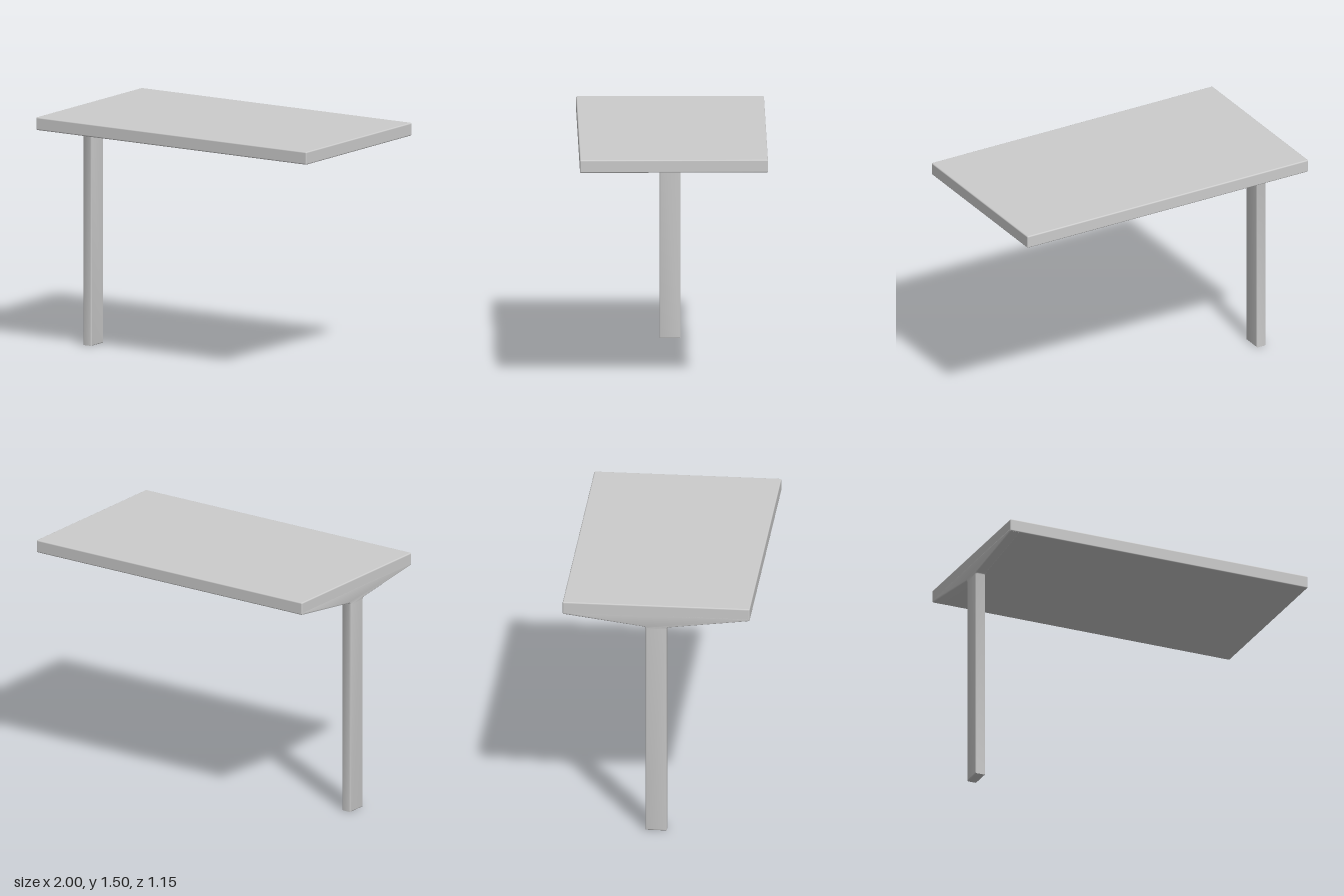
import * as THREE from 'three';
import { RoundedBoxGeometry } from 'three/addons/geometries/RoundedBoxGeometry.js';
import { toCreasedNormals } from 'three/addons/utils/BufferGeometryUtils.js';

const TOP_Y = 1.5, UNDER_Y = 1.42, HALF_DEPTH = 0.575;
const LEG_HALF = 0.065, LEG_THICK = 0.065, NECK_Y = 1.355, BEVEL = 0.007;

// T-shaped outline of the leg with its two tapered arms
function supportShape() {
  const s = new THREE.Shape();
  const reach = HALF_DEPTH - 0.005;
  s.moveTo(-LEG_HALF, 0);
  s.lineTo(LEG_HALF, 0);
  s.lineTo(LEG_HALF, NECK_Y - 0.015);
  s.quadraticCurveTo(LEG_HALF, NECK_Y, LEG_HALF + 0.015, NECK_Y + 0.002);
  s.lineTo(reach, UNDER_Y);
  s.lineTo(reach, UNDER_Y + 0.02);
  s.lineTo(-reach, UNDER_Y + 0.02);
  s.lineTo(-reach, UNDER_Y);
  s.lineTo(-LEG_HALF - 0.015, NECK_Y + 0.002);
  s.quadraticCurveTo(-LEG_HALF, NECK_Y, -LEG_HALF, NECK_Y - 0.015);
  s.closePath();
  return s;
}

export function createModel() {
  const group = new THREE.Group();
  group.name = 'table';
  const material = new THREE.MeshStandardMaterial({ color: 0xcccccc });

  // Slab with softly rounded edges
  const thick = TOP_Y - UNDER_Y;
  const top = new THREE.Mesh(new RoundedBoxGeometry(2, thick, HALF_DEPTH * 2, 3, 0.008), material);
  top.name = 'tableTop';
  top.position.y = UNDER_Y + thick / 2;
  group.add(top);

  // Single leg and bracket, flush with the end of the slab
  const geometry = new THREE.ExtrudeGeometry(supportShape(), {
    depth: LEG_THICK - 2 * BEVEL,
    bevelSize: BEVEL,
    bevelThickness: BEVEL,
    bevelOffset: -BEVEL,
    bevelSegments: 3,
    curveSegments: 5,
  });
  geometry.rotateY(Math.PI / 2);
  const support = new THREE.Mesh(toCreasedNormals(geometry, 0.6), material);
  support.name = 'legAndBracket';
  support.position.x = -1 + BEVEL;
  group.add(support);

  return group;
}
